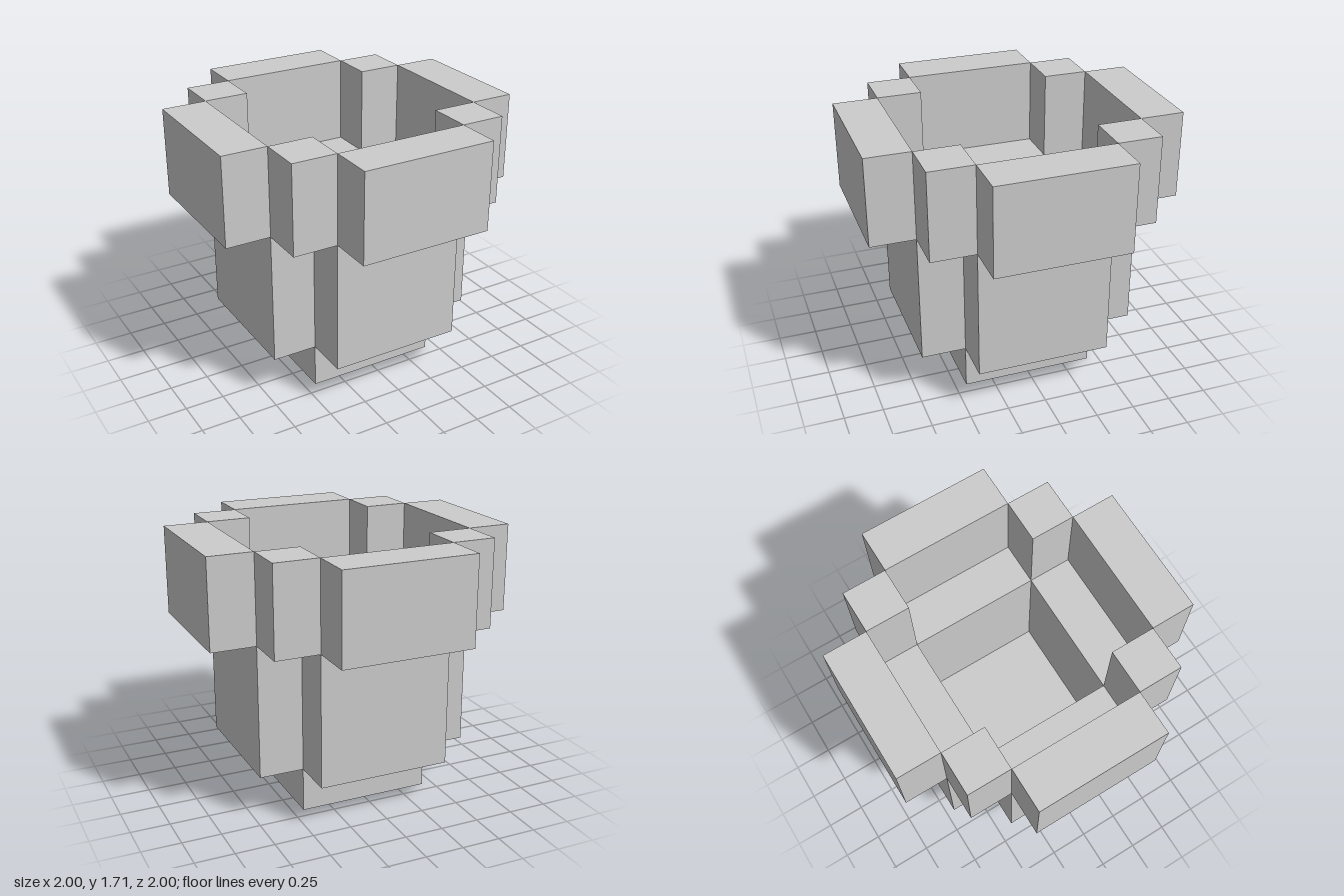
import * as THREE from 'three';

const U = 2 / 7; // one block

export function createModel() {
  const model = new THREE.Group();
  model.name = 'blockPot';
  const grey = new THREE.MeshStandardMaterial({ color: 0xcccccc });
  grey.name = 'light grey';

  // Box sized and placed in block units, y measured from its bottom
  const addBox = (name, w, h, d, x, y, z) => {
    const mesh = new THREE.Mesh(new THREE.BoxGeometry(w * U, h * U, d * U), grey);
    mesh.name = name;
    mesh.position.set(x * U, (y + h / 2) * U, z * U);
    model.add(mesh);
  };

  // Floor slab
  addBox('base', 3, 1, 3, 0, 0, 0);

  // Wall and rim plates on the four sides
  for (const s of [-1, 1]) {
    addBox('wall', 3, 3, 1, 0, 1, 2 * s);
    addBox('wall', 1, 3, 3, 2 * s, 1, 0);
    addBox('rim', 3, 2, 1, 0, 4, 3 * s);
    addBox('rim', 1, 2, 3, 3 * s, 4, 0);
    // Corner posts joining the rim plates
    for (const t of [-1, 1]) addBox('rimCorner', 1, 2, 1, 2 * s, 4, 2 * t);
  }
  return model;
}
